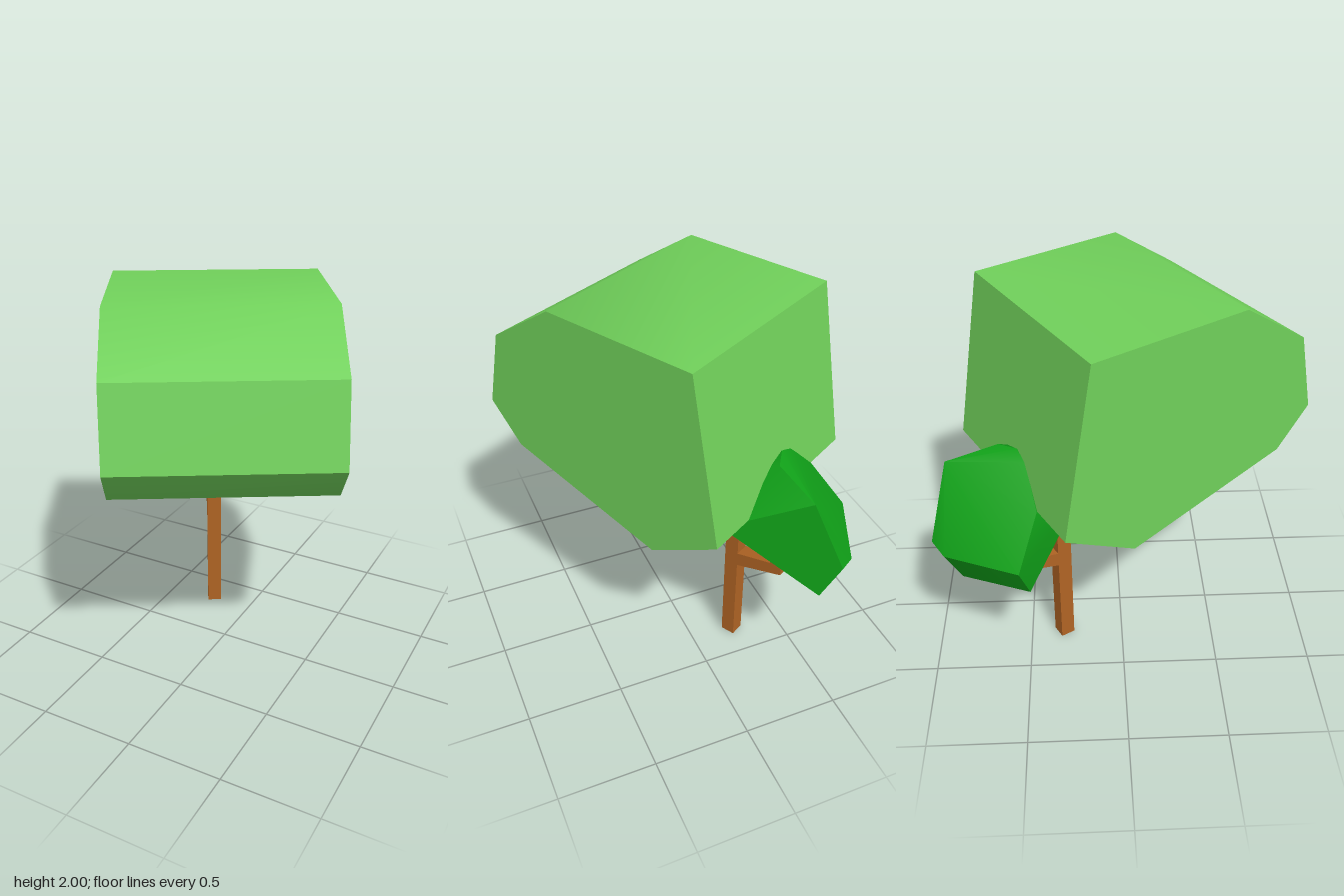
import * as THREE from 'three';
import { toCreasedNormals } from 'three/addons/utils/BufferGeometryUtils.js';
import { ConvexGeometry } from 'three/addons/geometries/ConvexGeometry.js';

const CREASE = 0.65;

// Extrudes a side profile [along, y]; the tree's main axis is turned 60 degrees from x
function slab(name, profile, depth, color, x, z) {
  const shape = new THREE.Shape(profile.map(([u, y]) => new THREE.Vector2(u, y)));
  const geometry = new THREE.ExtrudeGeometry(shape, { depth, bevelEnabled: false });
  const mesh = new THREE.Mesh(toCreasedNormals(geometry, CREASE), new THREE.MeshStandardMaterial({ color }));
  mesh.name = name;
  mesh.position.set(x, 0, z);
  mesh.rotation.y = -Math.PI / 3;
  return mesh;
}

export function createModel() {
  const tree = new THREE.Group();
  tree.name = 'tree';

  // Trunk with a high front branch and a lower back branch, both ending in upright stubs
  const h = 0.0385;
  const trunk = [
    [-h, 0], [h, 0], [h, 0.81],
    [0.25, 0.875], [0.25, 0.96], [0.18, 0.96], [0.17, 0.93], [h, 0.905], [-h, 0.9],
    [-h, 0.605], [-0.235, 0.65], [-0.235, 0.8], [-0.3, 0.8], [-0.3, 0.6], [-h, 0.525],
  ];
  tree.add(slab('trunk', trunk, 2 * h, 0xb06424, -0.204, -0.339));

  // Large faceted crown
  const crown = [
    [0, 1.12], [0.37, 0.915], [1.21, 1.175], [1.385, 1.375],
    [1.295, 1.77], [0.945, 2], [0.15, 1.97],
  ];
  tree.add(slab('largeCrown', crown, 1.075, 0x70d05a, 0.12, -0.815));

  // Small tilted crown on the back branch, partly buried in the large one
  const corners = [
    [-0.49, 0.88, -0.93], [-0.58, 0.86, -0.865], [-0.75, 0.88, -0.5],     // outer rim
    [-0.41, 0.69, -0.88], [-0.5, 0.66, -0.8], [-0.66, 0.69, -0.46],       // underside
    [-0.35, 1.25, -0.845], [-0.3, 1.31, -0.59], [-0.36, 1.32, -0.5],      // top
    [-0.43, 1.29, -0.46], [-0.59, 1.12, -0.41],
    [0.01, 1.06, -0.62], [-0.24, 0.95, -0.21], [-0.2, 1.2, -0.3],         // buried end
  ].map((p) => new THREE.Vector3(...p));
  const small = new THREE.Mesh(
    toCreasedNormals(new ConvexGeometry(corners), CREASE),
    new THREE.MeshStandardMaterial({ color: 0x10a018 }),
  );
  small.name = 'smallCrown';
  tree.add(small);

  return tree;
}
